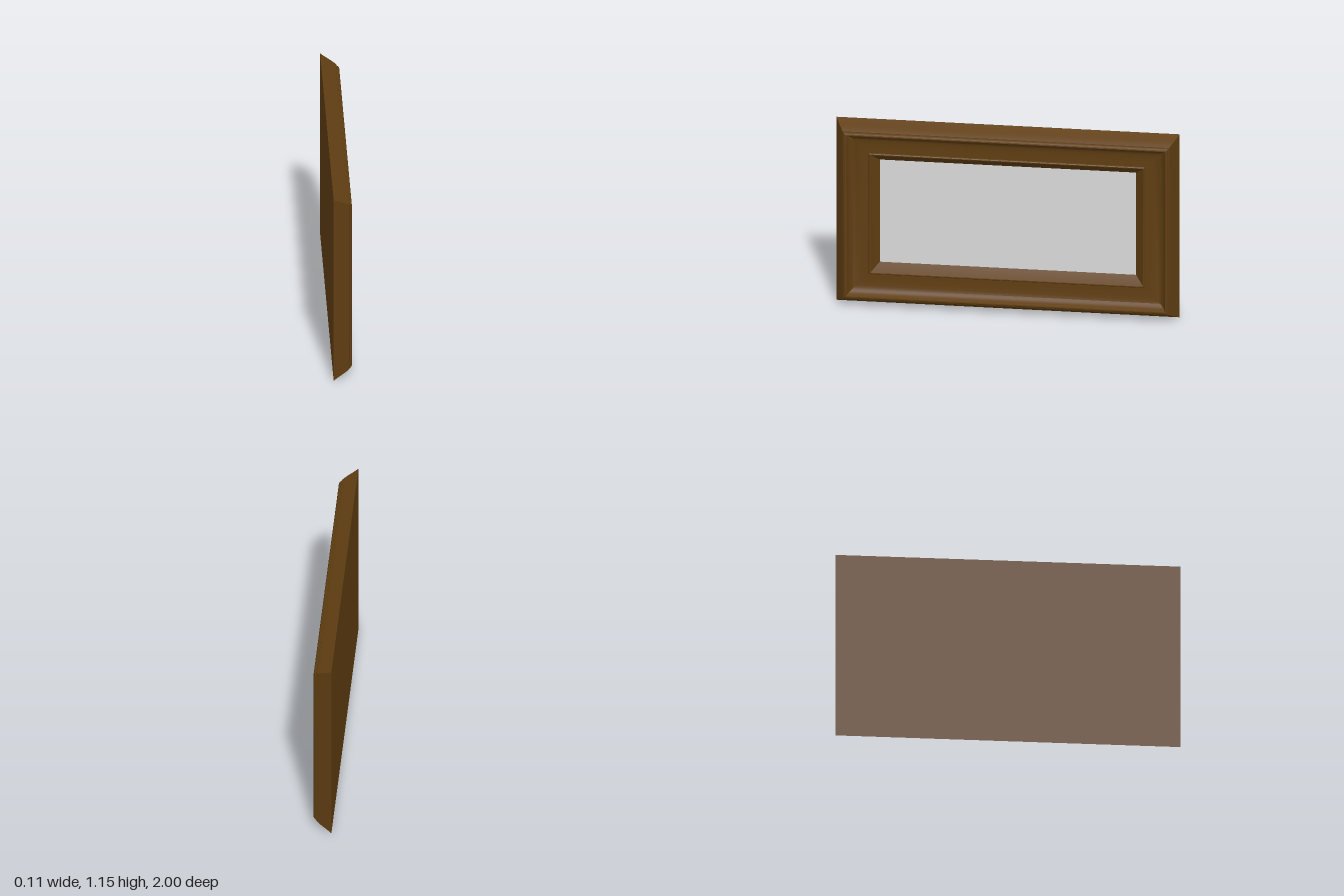
import * as THREE from 'three';
import { toCreasedNormals } from 'three/addons/utils/BufferGeometryUtils.js';

const LENGTH = 2, HEIGHT = 1.15, BACK = -0.055;

// Moulding section: [inset from the outer edge, depth along x]
const PROFILE = [
  [0, BACK], [0.015, -0.027], [0.028, 0], [0.041, 0.024], [0.05, 0.037],   // outer slope
  [0.054, 0.038], [0.057, 0.046], [0.062, 0.051], [0.067, 0.053], [0.072, 0.051], // ridge bead
  [0.075, 0.045], [0.081, 0.03], [0.091, 0.016], [0.105, 0.006],           // cove
  [0.122, 0], [0.145, -0.003], [0.17, -0.004], [0.195, -0.004],
  [0.197, 0.002], [0.201, 0.005], [0.206, 0.004], [0.21, -0.002],          // inner bead
  [0.254, BACK + 0.002],                                                   // inner lip
];

// Corners in counterclockwise order seen from +x, as [z sign, y sign]
const CORNERS = [[1, -1], [-1, -1], [-1, 1], [1, 1]];

function cornerPoint([sz, sy], [inset, x]) {
  return [x, HEIGHT / 2 + sy * (HEIGHT / 2 - inset), sz * (LENGTH / 2 - inset)];
}

// Sweep the section round the rectangle with mitred corners
function mouldingGeometry() {
  const positions = [];
  for (let c = 0; c < 4; c++) {
    const from = CORNERS[c], to = CORNERS[(c + 1) % 4];
    for (let i = 0; i < PROFILE.length - 1; i++) {
      const a = cornerPoint(from, PROFILE[i]), b = cornerPoint(to, PROFILE[i]);
      const d = cornerPoint(from, PROFILE[i + 1]), e = cornerPoint(to, PROFILE[i + 1]);
      positions.push(...a, ...b, ...e, ...a, ...e, ...d);
    }
  }
  const geometry = new THREE.BufferGeometry();
  geometry.setAttribute('position', new THREE.Float32BufferAttribute(positions, 3));
  return toCreasedNormals(geometry, 0.6);
}

export function createModel() {
  const wood = new THREE.MeshStandardMaterial({ color: 0x603e12 });
  wood.name = 'brownWood';
  const canvas = new THREE.MeshStandardMaterial({ color: 0xd9d9d9 });
  canvas.name = 'paleGrey';

  const group = new THREE.Group();
  group.name = 'pictureFrame';
  const add = (name, geometry, material) => {
    const mesh = new THREE.Mesh(geometry, material);
    mesh.name = name;
    group.add(mesh);
    return mesh;
  };

  add('moulding', mouldingGeometry(), wood);

  // Blank picture, facing +x
  const inset = PROFILE[PROFILE.length - 1][0];
  const picture = add('picture',
    new THREE.PlaneGeometry(LENGTH - 2 * inset, HEIGHT - 2 * inset), canvas);
  picture.rotation.y = Math.PI / 2;
  picture.position.set(BACK + 0.002, HEIGHT / 2, 0);

  // Flat back, facing -x
  const back = add('backPanel', new THREE.PlaneGeometry(LENGTH, HEIGHT), wood);
  back.rotation.y = -Math.PI / 2;
  back.position.set(BACK, HEIGHT / 2, 0);

  return group;
}
